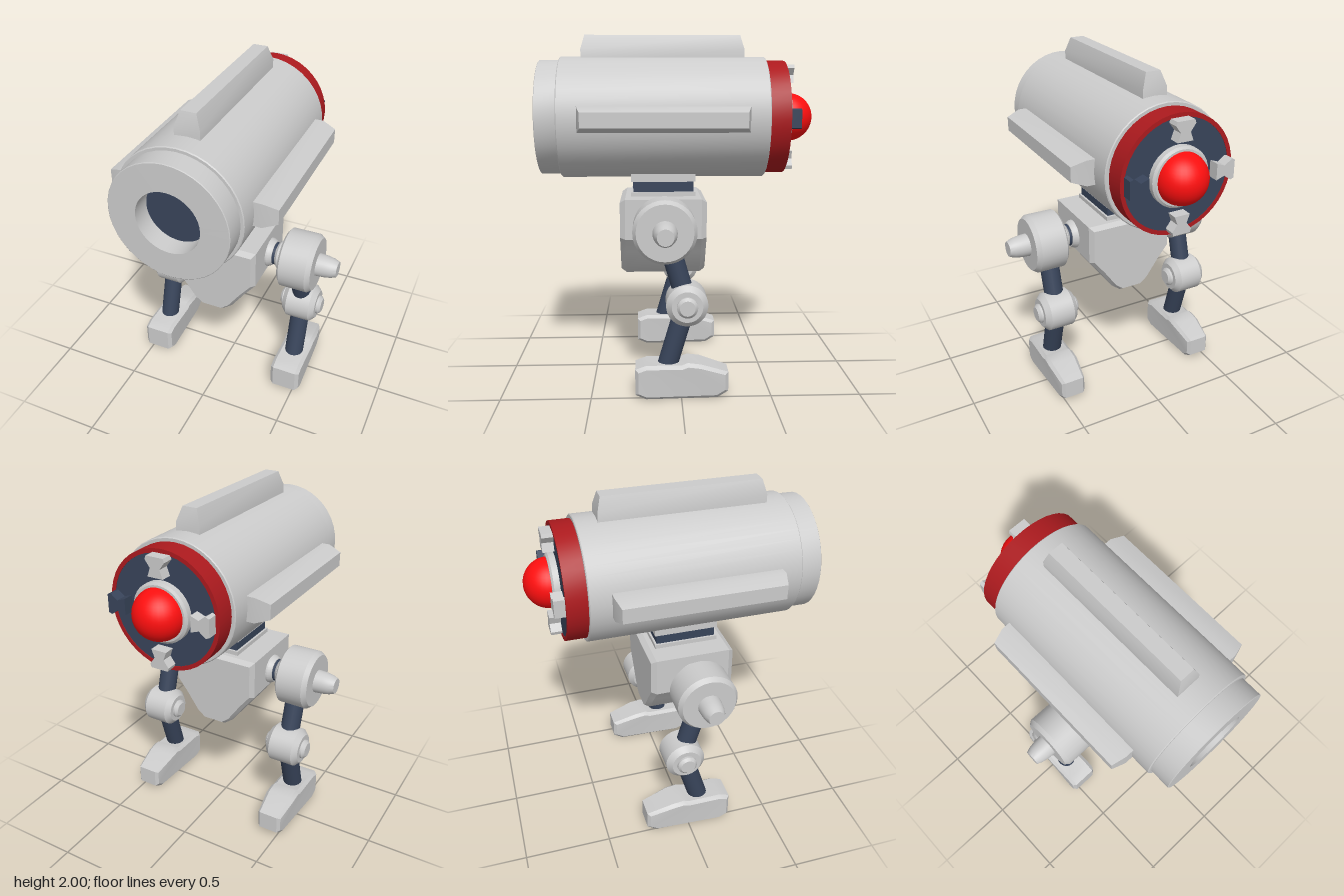
import * as THREE from 'three';
import { toCreasedNormals } from 'three/addons/utils/BufferGeometryUtils.js';

const paint = (color) => new THREE.MeshStandardMaterial({ color });
const GREY = paint(0xcccccc);
const DARK = paint(0x38445a);
const RING = paint(0xac1a1e);
const LAMP = paint(0xff0f0f);

function add(parent, name, geometry, material = GREY) {
  const mesh = new THREE.Mesh(toCreasedNormals(geometry, 0.5), material);
  mesh.name = name;
  parent.add(mesh);
  return mesh;
}

// Turned part from [radius, height] pairs, listed upward along y
const turned = (pts, segments = 32) =>
  new THREE.LatheGeometry(pts.map(([r, h]) => new THREE.Vector2(r, h)), segments);
const alongZ = (pts, segments) => turned(pts, segments).rotateX(Math.PI / 2);
const alongX = (pts, side, segments) => turned(pts, segments).rotateZ(-side * Math.PI / 2);

const polygon = (pts) => new THREE.Shape(pts.map(([x, y]) => new THREE.Vector2(x, y)));

function box(w, h, d, x, y, z) {
  return new THREE.BoxGeometry(w, h, d).translate(x, y, z);
}

// Round strut between two points
function strut(a, b, radius) {
  const dir = b.clone().sub(a);
  const q = new THREE.Quaternion().setFromUnitVectors(new THREE.Vector3(0, 1, 0), dir.clone().normalize());
  const mid = a.clone().add(b).multiplyScalar(0.5);
  return new THREE.CylinderGeometry(radius, radius, dir.length(), 20)
    .applyQuaternion(q).translate(mid.x, mid.y, mid.z);
}

// Long rib with a tapered crown, standing on the barrel
function ribGeometry() {
  const geo = new THREE.BoxGeometry(2, 2, 2, 1, 2, 1);
  const p = geo.attributes.position;
  const rows = { '-1': [0.3, 0.07, 0.47], 0: [0.39, 0.07, 0.47], 1: [0.47, 0.042, 0.448] };
  for (let i = 0; i < p.count; i++) {
    const [y, hw, hl] = rows[Math.round(p.getY(i))];
    p.setXYZ(i, p.getX(i) * hw, y, p.getZ(i) * hl + 0.09);
  }
  return geo;
}

function createBarrel() {
  const barrel = new THREE.Group();
  barrel.name = 'barrel';
  barrel.position.y = 1.53;

  add(barrel, 'barrelShell', alongZ([
    [0, -0.5], [0.345, -0.5], [0.35, -0.495], [0.35, 0.675], [0.345, 0.68],
    [0.33, 0.68], [0.33, 0.797], [0.326, 0.8], [0.175, 0.8], [0.175, 0.69],
  ], 40));
  add(barrel, 'muzzleFloor', alongZ([[0.178, 0.685], [0.178, 0.69], [0, 0.69]], 40), DARK);
  add(barrel, 'rearBand', alongZ([
    [0.305, -0.6], [0.305, -0.615], [0.328, -0.615], [0.328, -0.49],
  ], 40), RING);
  add(barrel, 'rearPlate', alongZ([[0, -0.612], [0.306, -0.612], [0.306, -0.5]], 40), DARK);
  add(barrel, 'lampMount', alongZ([[0, -0.655], [0.152, -0.655], [0.165, -0.645], [0.165, -0.6]]));
  add(barrel, 'lamp', new THREE.SphereGeometry(0.14, 32, 24).translate(0, 0, -0.652), LAMP);

  // Ribs on the top and both sides
  for (const angle of [0, Math.PI / 2, -Math.PI / 2]) {
    add(barrel, 'rib', ribGeometry()).rotation.z = angle;
  }

  // Four flared lugs around the lamp
  const lug = polygon([
    [-0.045, 0.198], [0.045, 0.198], [0.028, 0.245], [0.057, 0.285],
    [0.05, 0.305], [-0.05, 0.305], [-0.057, 0.285], [-0.028, 0.245],
  ]);
  for (let i = 0; i < 4; i++) {
    const geo = new THREE.ExtrudeGeometry(lug, { depth: 0.075, bevelEnabled: false }).translate(0, 0, -0.675);
    add(barrel, 'lug', geo, i === 3 ? DARK : GREY).rotation.z = i * Math.PI / 2;
  }
  return barrel;
}

function createBody() {
  const body = new THREE.Group();
  body.name = 'body';
  // Funnel-shaped hull with chamfered edges
  const half = [[0.245, 1.057], [0.245, 0.855], [0.182, 0.775], [0.105, 0.665], [0.06, 0.63]];
  const outline = polygon([...half, ...half.map(([x, y]) => [-x, y]).reverse()]);
  add(body, 'hull', new THREE.ExtrudeGeometry(outline, {
    depth: 0.435, bevelThickness: 0.03, bevelSize: 0.02, bevelSegments: 1,
  }).translate(0, 0, -0.125));
  // Neck between the hull and the barrel
  add(body, 'neckBase', box(0.27, 0.03, 0.375, 0, 1.087, 0.09));
  add(body, 'neck', box(0.245, 0.12, 0.35, 0, 1.14, 0.09), DARK);
  add(body, 'neckSaddle', box(0.27, 0.05, 0.375, 0, 1.187, 0.09));
  return body;
}

function footGeometry() {
  const side = polygon([
    [0.255, 0.025], [0.255, 0.17], [0.205, 0.19], [-0.005, 0.19], [-0.04, 0.205],
    [-0.11, 0.195], [-0.26, 0.14], [-0.26, 0.035], [-0.21, 0], [0.205, 0],
  ].map(([z, y]) => [-z * 0.93, 0.02 + y * 0.83]));
  const geo = new THREE.ExtrudeGeometry(side, {
    depth: 0.145, bevelThickness: 0.02, bevelSize: 0.018, bevelSegments: 1,
  }).translate(0, 0, -0.0725).rotateY(Math.PI / 2);
  // Narrow the heel
  const p = geo.attributes.position;
  for (let i = 0; i < p.count; i++) {
    if (p.getZ(i) < -0.15) p.setX(i, p.getX(i) * 0.8);
  }
  return geo;
}

function createLeg(side) {
  const leg = new THREE.Group();
  leg.name = side > 0 ? 'leftLeg' : 'rightLeg';
  const at = (y, z) => new THREE.Vector3(side * 0.447, y, z);
  const shoulder = at(0.942, 0.09), knee = at(0.533, -0.03), ankle = at(0.12, 0.092);
  const joint = (name, pts, c, material) =>
    add(leg, name, alongX(pts, side).translate(0, c.y, c.z), material);

  // Hip axle, drum and outer pin
  joint('hipCollar', [[0, 0.24], [0.085, 0.24], [0.085, 0.275], [0.072, 0.3], [0, 0.3]], shoulder);
  joint('hipAxle', [[0, 0.27], [0.066, 0.27], [0.066, 0.36], [0, 0.36]], shoulder, DARK);
  joint('hipWasher', [[0, 0.31], [0.06, 0.31], [0.082, 0.332], [0.082, 0.38], [0, 0.38]], shoulder);
  joint('hipDrum', [
    [0, 0.364], [0.155, 0.364], [0.173, 0.378], [0.174, 0.535], [0.155, 0.562], [0, 0.562],
  ], shoulder);
  joint('hipPin', [
    [0, 0.55], [0.068, 0.55], [0.064, 0.61], [0.057, 0.65], [0.045, 0.68], [0, 0.68],
  ], shoulder);

  // Struts and knee
  add(leg, 'upperStrut', strut(shoulder, knee, 0.057), DARK);
  add(leg, 'lowerStrut', strut(knee, ankle, 0.057), DARK);
  joint('kneeDrum', [
    [0, 0.345], [0.085, 0.345], [0.115, 0.375], [0.115, 0.52], [0.085, 0.55], [0, 0.55],
  ], knee);
  joint('kneePin', [
    [0, 0.318], [0.042, 0.318], [0.057, 0.332], [0.057, 0.562], [0.042, 0.577], [0, 0.577],
  ], knee);

  add(leg, 'foot', footGeometry()).position.x = side * 0.447;
  return leg;
}

export function createModel() {
  const model = new THREE.Group();
  model.name = 'walkingCannon';
  model.add(createBarrel(), createBody(), createLeg(1), createLeg(-1));
  return model;
}
